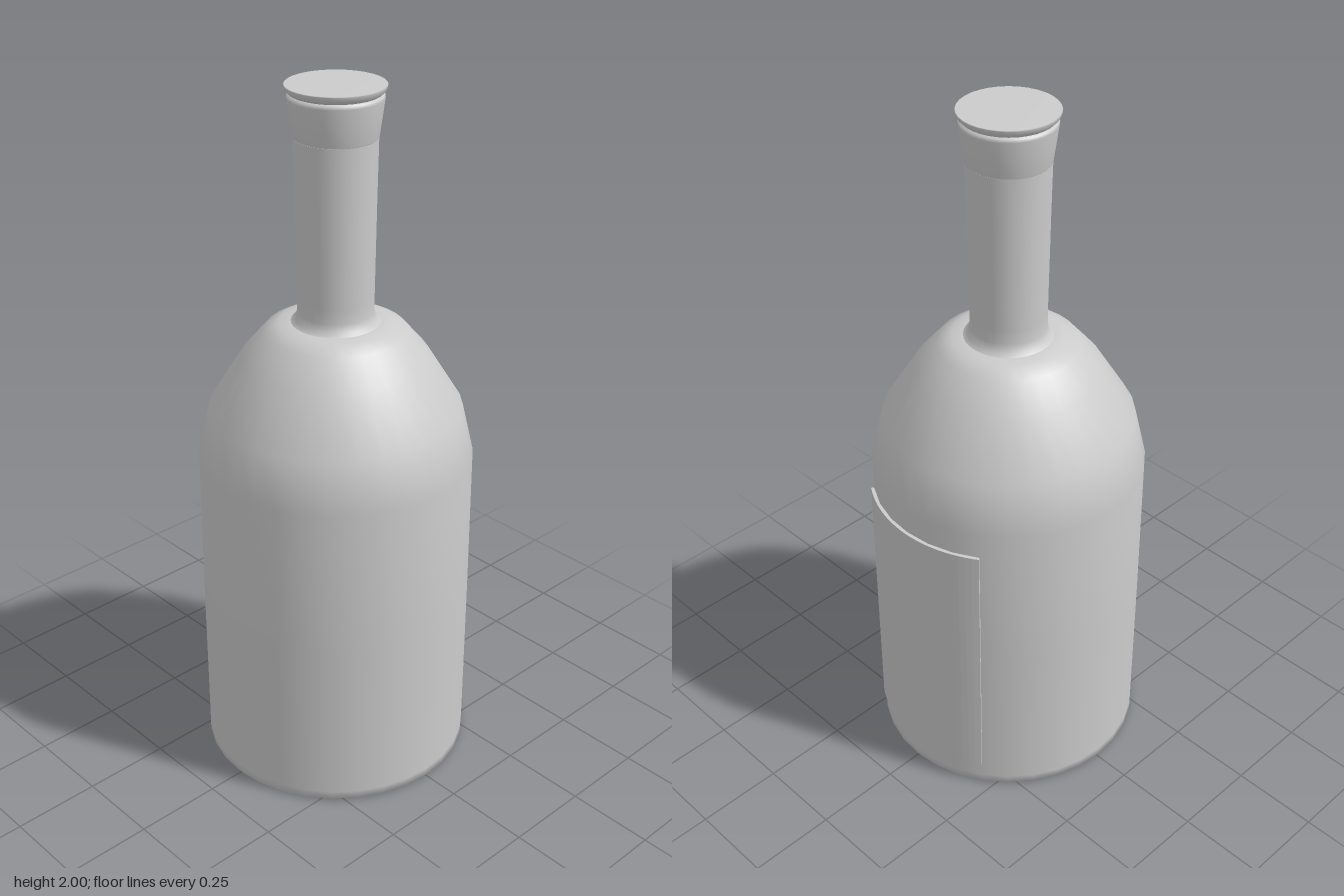
import * as THREE from 'three';

const SEGMENTS = 32;
const CENTRE_Z = 0.003;

// Smooth turned part from [radius, height] pairs, listed bottom to top
function turned(name, profile, material) {
  const points = profile.map(([r, y]) => new THREE.Vector2(r, y));
  const mesh = new THREE.Mesh(new THREE.LatheGeometry(points, SEGMENTS), material);
  mesh.name = name;
  mesh.position.z = CENTRE_Z;
  return mesh;
}

// Curved plate: a ring sector extruded upward, centred on the back (-z)
function curvedPlate(inner, outer, halfAngle, height) {
  const mid = Math.PI / 2; // shape +y becomes -z once laid flat
  const shape = new THREE.Shape();
  shape.absarc(0, 0, outer, mid - halfAngle, mid + halfAngle, false);
  shape.absarc(0, 0, inner, mid + halfAngle, mid - halfAngle, true);
  shape.closePath();
  const geometry = new THREE.ExtrudeGeometry(shape, {
    depth: height, bevelEnabled: false, curveSegments: 12,
  });
  return geometry.rotateX(-Math.PI / 2);
}

export function createModel() {
  const group = new THREE.Group();
  group.name = 'bottle';
  const grey = new THREE.MeshStandardMaterial({ color: 0xcccccc, side: THREE.DoubleSide });

  // Base, straight wall and rounded shoulder
  group.add(turned('body', [
    [0, 0], [0.37, 0], [0.39, 0.006], [0.39, 0.03], [0.39, 0.5], [0.388, 0.955],
    [0.355, 1.097], [0.26, 1.25], [0.196, 1.325], [0.155, 1.347], [0.115, 1.35],
  ], grey));

  // Neck with a small flare at its foot
  group.add(turned('neck', [
    [0.125, 1.348], [0.112, 1.358], [0.105, 1.38], [0.105, 1.42],
    [0.109, 1.7], [0.112, 1.862],
  ], grey));

  // Flared collar around the mouth
  group.add(turned('collar', [
    [0.108, 1.862], [0.113, 1.863], [0.121, 1.92], [0.127, 1.965],
    [0.126, 1.974], [0.115, 1.978],
  ], grey));

  // Flat closing cap
  group.add(turned('cap', [
    [0.112, 1.974], [0.122, 1.978], [0.13, 1.986], [0.134, 1.998], [0.132, 2], [0, 2],
  ], grey));

  // Raised label panel on the back
  const label = new THREE.Mesh(curvedPlate(0.378, 0.397, THREE.MathUtils.degToRad(33.75), 0.8), grey);
  label.name = 'labelPanel';
  label.position.set(0, 0.08, CENTRE_Z);
  group.add(label);

  return group;
}
